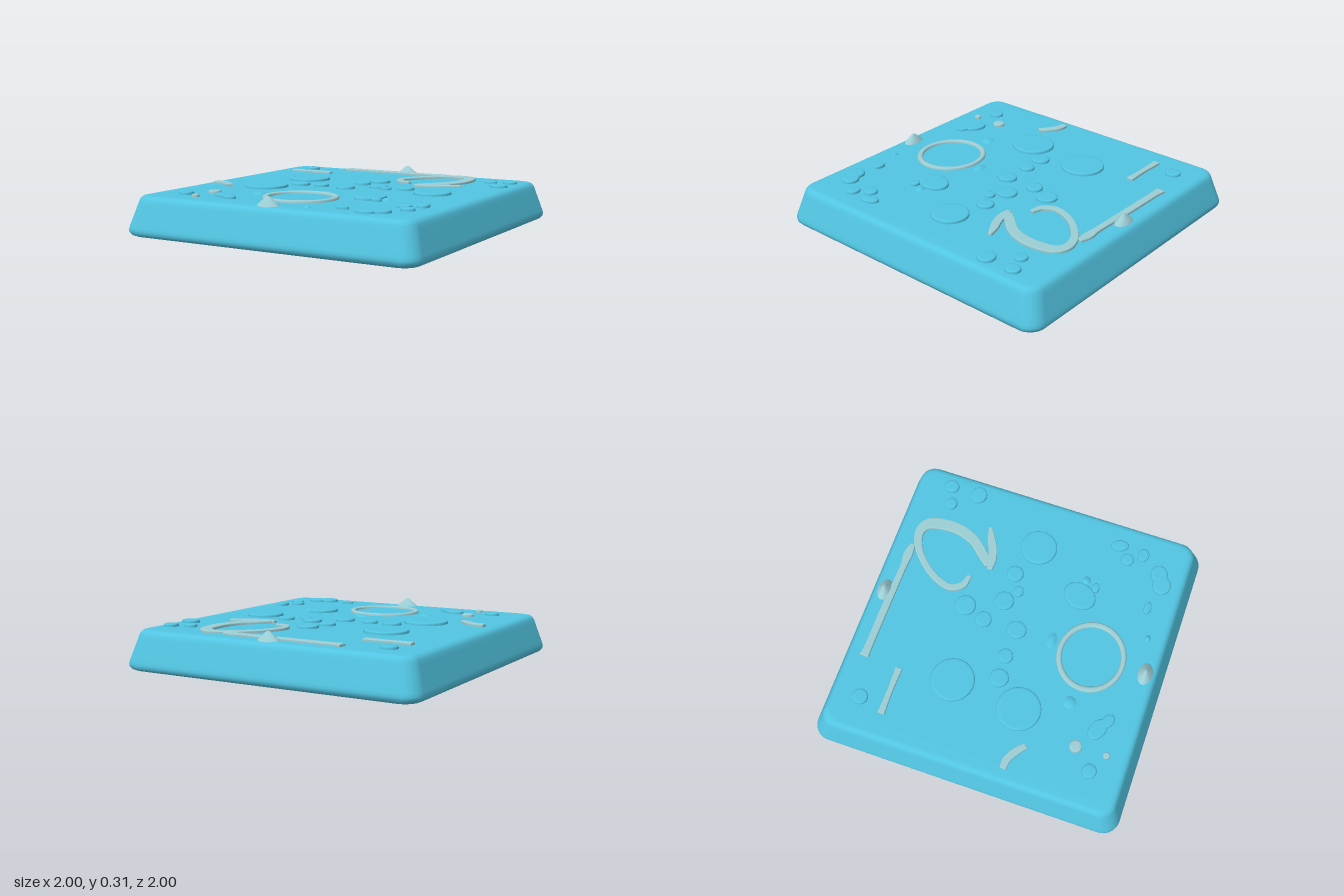
import * as THREE from 'three';

const TOP = 0.254; // height of the slab's flat upper face

const slabBlue = new THREE.MeshStandardMaterial({ color: 0x52c5e2 });
slabBlue.name = 'slabBlue';
const paleStone = new THREE.MeshStandardMaterial({ color: 0x9ccdd4 });
paleStone.name = 'paleStone';

// Slab: rounded-square cross-sections [half width, corner radius, y]
function slabGeometry() {
  const sections = [
    [0, 0, 0], [0.88, 0.06, 0], [0.94, 0.08, 0], [0.965, 0.09, 0.004], [0.985, 0.1, 0.013],
    [0.997, 0.105, 0.028], [1, 0.108, 0.045], [0.996, 0.108, 0.065], [0.985, 0.105, 0.1],
    [0.955, 0.1, 0.2], [0.947, 0.095, 0.225], [0.938, 0.09, 0.24], [0.924, 0.08, 0.25],
    [0.905, 0.07, TOP], [0.85, 0.05, TOP], [0, 0, TOP],
  ];
  const steps = 8, ring = 4 * (steps + 1);
  const positions = [], index = [];
  sections.forEach(([half, r, y], s) => {
    for (let c = 0; c < 4; c++) {
      const mid = (c + 0.5) * Math.PI / 2;
      const cx = Math.sign(Math.cos(mid)) * (half - r), cz = Math.sign(Math.sin(mid)) * (half - r);
      for (let k = 0; k <= steps; k++) {
        const a = (c + k / steps) * Math.PI / 2;
        positions.push(cx + r * Math.cos(a), y, cz + r * Math.sin(a));
      }
    }
    if (s === 0) return;
    for (let i = 0; i < ring; i++) {
      const j = (i + 1) % ring, a = (s - 1) * ring, b = s * ring;
      index.push(a + i, b + i, a + j, b + i, b + j, a + j);
    }
  });
  const g = new THREE.BufferGeometry();
  g.setAttribute('position', new THREE.Float32BufferAttribute(positions, 3));
  g.setIndex(index);
  g.computeVertexNormals();
  return g;
}

const lathe = (pts, n = 40) => new THREE.LatheGeometry(pts.map(([x, y]) => new THREE.Vector2(x, y)), n);

// Raised plateau with a softened rim
function disc(rx, rz, h) {
  const e = Math.min(0.012 / rx, 0.3);
  return lathe([[1, -0.01], [1, h - 0.007], [1 - e * 0.3, h - 0.002], [1 - e, h], [1 - 2 * e, h], [0, h]])
    .scale(rx, 1, rz);
}

// Low soft mound
function mound(rx, rz, h) {
  return lathe([[1, -0.002], [0.85, h * 0.15], [0.6, h * 0.55], [0.35, h * 0.88], [0, h]], 24).scale(rx, 1, rz);
}

// Flat ridge along a path of [x, z, width]
function ridge(path, h) {
  const curve = new THREE.CatmullRomCurve3(path.map(([x, z, w]) => new THREE.Vector3(x, w, z)), false, 'centripetal');
  const n = path.length * 8, bevel = 0.006, left = [], right = [];
  for (let i = 0; i <= n; i++) {
    const p = curve.getPoint(i / n), t = curve.getTangent(i / n);
    const len = Math.hypot(t.x, t.z), w = p.y / 2 - bevel;
    const nx = -t.z / len * w, nz = t.x / len * w;
    left.push(new THREE.Vector2(p.x + nx, -(p.z + nz)));
    right.unshift(new THREE.Vector2(p.x - nx, -(p.z - nz)));
  }
  return new THREE.ExtrudeGeometry(new THREE.Shape([...left, ...right]), {
    depth: h - bevel + 0.01, bevelEnabled: true, bevelThickness: bevel, bevelSize: bevel, bevelSegments: 2,
  }).rotateX(-Math.PI / 2).translate(0, -0.01, 0);
}

export function createModel() {
  const model = new THREE.Group();
  model.name = 'reliefSlab';
  const add = (name, geometry, material, x = 0, z = 0, turn = 0, y = TOP) => {
    const m = new THREE.Mesh(geometry, material);
    m.name = name;
    m.position.set(x, y, z);
    m.rotation.y = turn;
    model.add(m);
  };

  add('slab', slabGeometry(), slabBlue, 0, 0, 0, 0);

  // Plateaus: x, z, radius x, radius z, turn
  [
    [-0.43, -0.25, 0.14, 0.138], [-0.475, 0.2, 0.14, 0.14], [0.6, -0.03, 0.118, 0.118],
    [0.065, -0.345, 0.067, 0.067], [0.012, -0.205, 0.053, 0.053], [0.175, -0.12, 0.062, 0.062],
    [0.265, -0.055, 0.037, 0.032], [0.375, -0.115, 0.054, 0.054], [-0.325, 0.02, 0.06, 0.06],
    [-0.175, 0.01, 0.048, 0.048], [0.012, 0.018, 0.06, 0.064], [-0.72, -0.755, 0.05, 0.05],
    [0.715, -0.68, 0.042, 0.038], [0.835, -0.72, 0.046, 0.048], [0.833, -0.528, 0.058, 0.053],
    [0.365, 0.325, 0.088, 0.108, -0.3], [0.45, 0.405, 0.033, 0.025], [-0.705, 0.73, 0.046, 0.046],
    [-0.44, 0.7, 0.075, 0.05, -0.4], [-0.37, 0.745, 0.05, 0.035, -0.4], [0.787, 0.465, 0.038, 0.058, 0.3],
    [0.708, 0.54, 0.042, 0.042], [0.77, 0.63, 0.045, 0.036], [0.605, 0.8, 0.065, 0.06],
    [0.675, 0.765, 0.06, 0.055, 0.4], [0.425, 0.76, 0.042, 0.024],
  ].forEach(([x, z, rx, rz, turn]) => add('plateau', disc(rx, rz, 0.018), slabBlue, x, z, turn));

  // Low mounds
  [
    [0.02, 0.25, 0.06, 0.035], [-0.33, 0.485, 0.045, 0.045], [0.48, 0.335, 0.035, 0.03], [0.23, 0.82, 0.025, 0.02],
  ].forEach(([x, z, rx, rz]) => add('mound', mound(rx, rz, 0.013), slabBlue, x, z));

  // Pale knobs
  [[-0.585, 0.605, 0.04], [-0.58, 0.8, 0.022]]
    .forEach(([x, z, r]) => add('paleKnob', disc(r, r, 0.018), paleStone, x, z));

  // Pale ridges
  add('longRidge', ridge([[-0.46, -0.83, 0.06], [-0.42, -0.828, 0.052], [-0.1, -0.825, 0.05],
    [0.2, -0.818, 0.045], [0.28, -0.82, 0.06], [0.35, -0.815, 0.035]], 0.016), paleStone);
  add('curvedRidge', ridge([[0.26, -0.39, 0.03], [0.19, -0.41, 0.045], [0.15, -0.48, 0.045],
    [0.175, -0.58, 0.045], [0.25, -0.69, 0.045], [0.36, -0.78, 0.05], [0.46, -0.805, 0.062],
    [0.525, -0.77, 0.075], [0.555, -0.66, 0.078], [0.55, -0.55, 0.075], [0.505, -0.44, 0.068],
    [0.43, -0.355, 0.065], [0.38, -0.3, 0.055]], 0.017), paleStone);
  add('spurRidge', ridge([[0.355, -0.285, 0.035], [0.41, -0.29, 0.055], [0.49, -0.31, 0.055],
    [0.56, -0.345, 0.05], [0.63, -0.375, 0.025]], 0.0165), paleStone);
  add('shortRidge', ridge([[-0.775, -0.593, 0.045], [-0.62, -0.593, 0.036], [-0.475, -0.593, 0.045]], 0.016), paleStone);
  add('sideRidge', ridge([[-0.855, 0.23, 0.045], [-0.8, 0.235, 0.05], [-0.74, 0.267, 0.05], [-0.685, 0.315, 0.04]],
    0.018), paleStone);

  // Round rim
  add('roundRim', lathe([[0.235, -0.01], [0.235, 0.008], [0.229, 0.015], [0.222, 0.016], [0.21, 0.016],
    [0.204, 0.014], [0.198, 0.008], [0.198, -0.01]], 64).scale(1, 1, 0.935), paleStone, -0.005, 0.52);

  // Pointed peaks at the front and back edges
  for (const side of [1, -1]) {
    add('edgePeak', lathe([[0.08, -0.01], [0.07, 0.006], [0.045, 0.025], [0.022, 0.046], [0.01, 0.054], [0, 0.057]], 24)
      .scale(1, 1, 0.62), paleStone, 0, side * 0.872);
  }
  return model;
}
